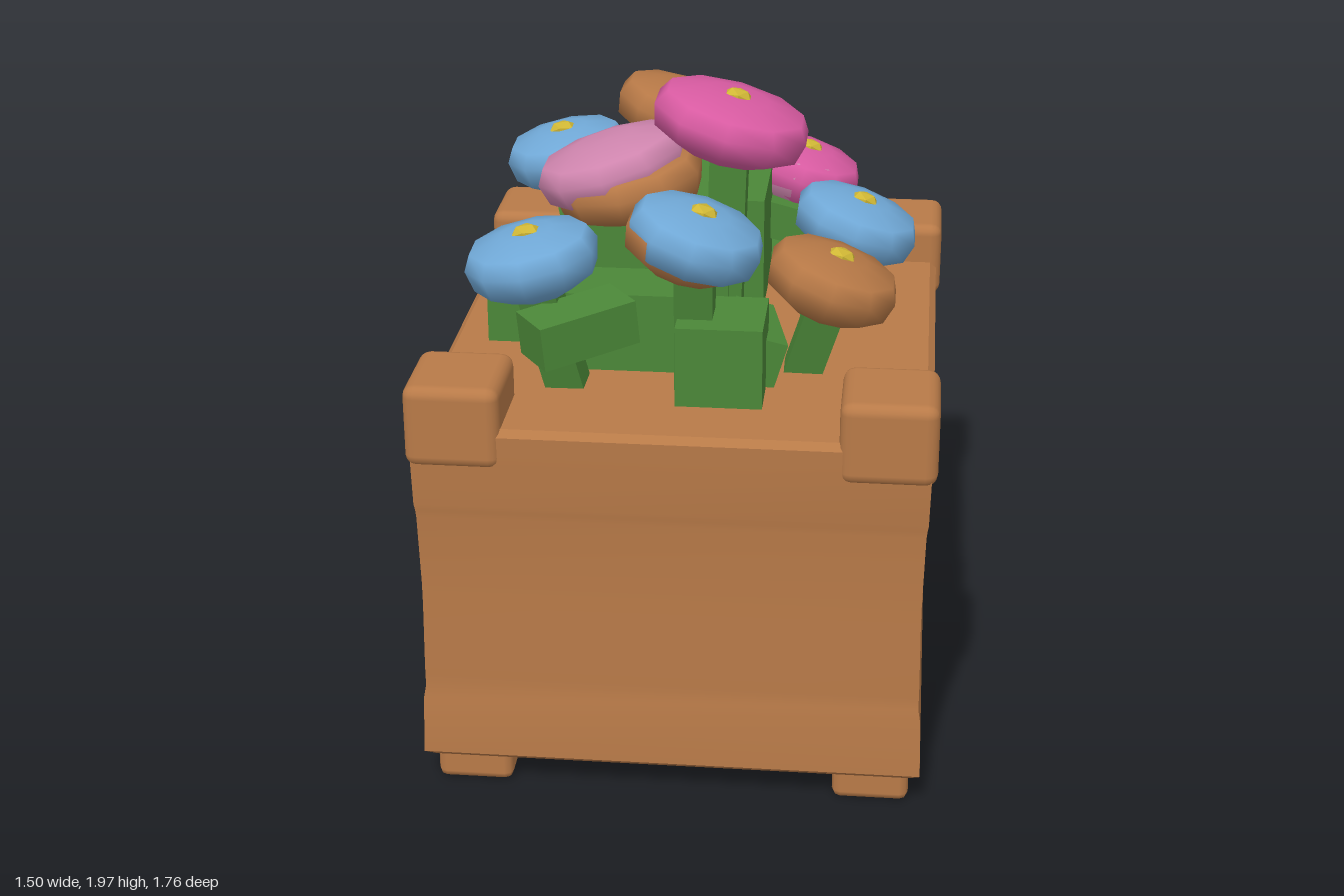
import * as THREE from 'three';
import { toCreasedNormals } from 'three/addons/utils/BufferGeometryUtils.js';
import { RoundedBoxGeometry } from 'three/addons/geometries/RoundedBoxGeometry.js';

const mat = (name, color) => {
  const m = new THREE.MeshStandardMaterial({ color });
  m.name = name;
  return m;
};

export function createModel() {
  const wood = mat('wood', 0xb87a48);
  const green = mat('leaf green', 0x4b8738);
  const blue = mat('petal blue', 0x70a8d6);
  const pink = mat('petal pink', 0xd95ba2);
  const palePink = mat('petal pale pink', 0xcf85ae);
  const brown = mat('petal brown', 0xb67846);
  const yellow = mat('flower centre yellow', 0xd0b735);

  const model = new THREE.Group();
  model.name = 'flowerPlanter';
  const add = (parent, name, geometry, material, x = 0, y = 0, z = 0) => {
    const mesh = new THREE.Mesh(geometry, material);
    mesh.name = name;
    mesh.position.set(x, y, z);
    parent.add(mesh);
    return mesh;
  };

  // Crate body: stacked rings, with plank grooves deepest at the back right corner (-x, -z).
  // Each ring: height, overall inset, groove depth at that corner, groove depth at (+x, -z)
  const rings = [
    [0.085, 0.03, 0, 0], [0.11, 0, 0, 0], [0.29, 0.005, 0, 0],
    [0.33, 0.012, 0.01, 0], [0.37, 0.012, 0.06, 0], [0.4, 0.012, 0.01, 0],
    [0.6, 0.015, 0.01, 0], [0.64, 0.015, 0.06, 0], [0.67, 0.015, 0.01, 0],
    [0.89, 0.01, 0.01, 0], [0.91, 0.008, 0.06, 0.035], [0.93, 0.005, 0.01, 0],
    [1.15, 0, 0, 0], [1.17, 0.02, 0, 0]
  ];
  const positions = [];
  const index = [];
  for (const [y, inset, groove, sideGroove] of rings) {
    const w = 0.735 - inset, d = 0.87 - inset;
    positions.push(-w + groove, y, -d + groove, -w, y, d, w, y, d, w - sideGroove, y, -d + sideGroove);
  }
  for (let r = 0; r < rings.length - 1; r++) {
    for (let i = 0; i < 4; i++) {
      const a = r * 4 + i, b = r * 4 + (i + 1) % 4;
      index.push(a, b, b + 4, a, b + 4, a + 4);
    }
  }
  const top = (rings.length - 1) * 4;
  index.push(0, 2, 1, 0, 3, 2, top, top + 1, top + 2, top, top + 2, top + 3);
  const body = new THREE.BufferGeometry();
  body.setAttribute('position', new THREE.Float32BufferAttribute(positions, 3));
  body.setIndex(index);
  add(model, 'crateBody', toCreasedNormals(body, 0.5), wood);

  // Corner caps and feet
  const cap = new RoundedBoxGeometry(0.275, 0.245, 0.3, 2, 0.035);
  const foot = new RoundedBoxGeometry(0.225, 0.16, 0.24, 1, 0.025);
  for (const sx of [-1, 1]) {
    for (const sz of [-1, 1]) {
      add(model, 'cornerCap', cap, wood, sx * 0.612, 1.172, sz * 0.73);
      add(model, 'foot', foot, wood, sx * 0.59, 0.08, sz * 0.72);
    }
  }

  // Foliage blocks: centre x, y, z, size x, y, z, turn about y, tilt about z
  const foliage = new THREE.Group();
  foliage.name = 'foliage';
  model.add(foliage);
  const blocks = [
    [0.03, 1.33, -0.33, 0.33, 0.4, 0.44, 0, 0],
    [-0.2, 1.34, -0.11, 0.4, 0.36, 0.24, 0, 0],
    [-0.49, 1.3, 0.13, 0.26, 0.32, 0.18, 0, 0],
    [0, 1.35, 0.12, 0.22, 0.42, 0.18, 0, 0],
    [-0.18, 1.28, 0.3, 0.34, 0.26, 0.22, 0, 0],
    [0.12, 1.28, 0.52, 0.25, 0.26, 0.26, 0, 0],
    [-0.28, 1.4, 0.64, 0.3, 0.13, 0.16, 0.6, 0.1],
    [0.18, 1.36, -0.5, 0.36, 0.12, 0.15, 0, -0.25],
    [0.38, 1.25, -0.15, 0.14, 0.14, 0.36, 0, 0.3],
    [-0.4, 1.24, -0.14, 0.13, 0.16, 0.14, 0, 0.2],
    [0.2, 1.25, 0.34, 0.12, 0.14, 0.32, 0.2, -0.3]
  ];
  for (const [x, y, z, w, h, d, turn, tilt] of blocks) {
    add(foliage, 'leafBlock', new THREE.BoxGeometry(w, h, d), green, x, y, z).rotation.set(0, turn, tilt);
  }

  // Ten-sided flower head with a chamfered underside
  const headProfile = [[0, -0.09], [0.55, -0.09], [0.93, -0.045], [1, 0.02], [0.88, 0.065], [0.4, 0.09], [0, 0.092]];
  const headGeometry = (r) => new THREE.LatheGeometry(
    headProfile.map(([x, y]) => new THREE.Vector2(x * r, y)), 10);
  const centreGeometry = new THREE.IcosahedronGeometry(0.045, 0);

  const addStem = (x, y, z) => {
    const from = new THREE.Vector3(x * 0.8, 1.15, z * 0.85);
    const dir = new THREE.Vector3(x, y, z).sub(from);
    const stem = add(foliage, 'stem', new THREE.BoxGeometry(0.11, dir.length(), 0.11), green);
    stem.position.copy(from).addScaledVector(dir, 0.5);
    stem.quaternion.setFromUnitVectors(new THREE.Vector3(0, 1, 0), dir.normalize());
  };

  // Flowers: petal, x, y, z, radius, lean toward +x, lean toward +z, has a visible centre
  const flowers = [
    [blue, -0.455, 1.575, -0.385, 0.195, -0.2, 0.05, true],
    [brown, -0.1, 1.73, -0.375, 0.2, 0.3, 0, true],
    [palePink, -0.24, 1.71, 0.13, 0.232, -0.3, 0, false],
    [brown, -0.19, 1.67, 0.15, 0.23, -0.2, 0.06, false],
    [pink, 0.11, 1.86, 0.15, 0.24, 0.26, 0, true],
    [brown, 0.425, 1.46, 0.375, 0.2, 0.33, 0, true],
    [blue, 0.475, 1.45, -0.15, 0.2, 0.33, 0, true],
    [pink, 0.285, 1.46, -0.63, 0.195, 0.3, 0, true],
    [palePink, 0.265, 1.455, -0.635, 0.193, 0.24, -0.08, false],
    [blue, -0.415, 1.575, 0.58, 0.195, -0.2, 0.05, true],
    [blue, 0.045, 1.645, 0.56, 0.2, 0.3, 0.04, true],
    [brown, 0.03, 1.63, 0.55, 0.195, 0.28, -0.02, false]
  ];
  for (const [petal, x, y, z, r, leanX, leanZ, hasCentre] of flowers) {
    const flower = new THREE.Group();
    flower.name = 'flower';
    flower.position.set(x, y, z);
    flower.rotation.set(leanZ, 0, -leanX);
    model.add(flower);
    add(flower, 'petals', headGeometry(r), petal);
    if (hasCentre) {
      add(flower, 'flowerCentre', centreGeometry, yellow, 0, 0.088, 0).scale.y = 0.5;
      addStem(x, y - 0.03, z);
    }
  }
  return model;
}
